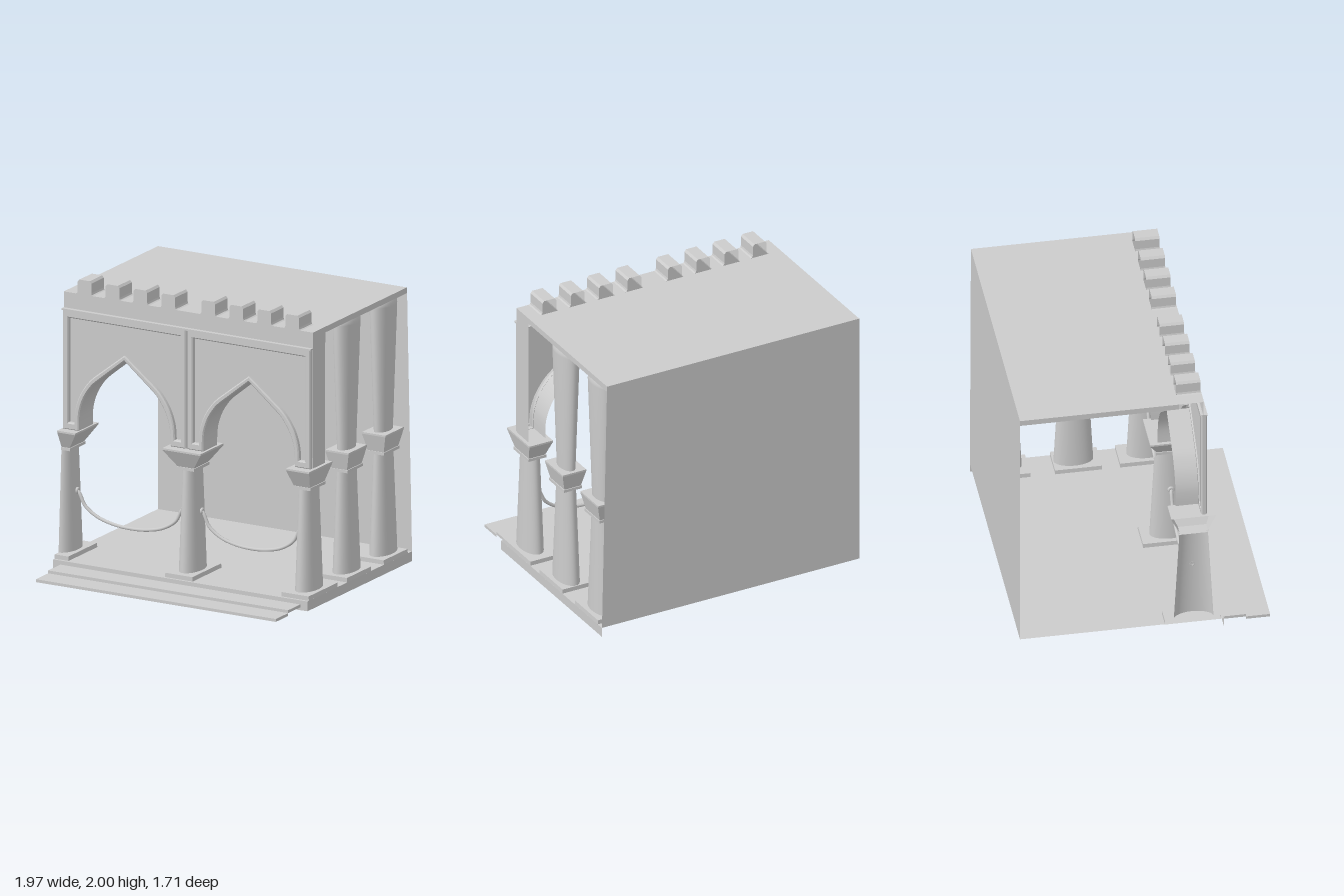
import * as THREE from 'three';
import { toCreasedNormals } from 'three/addons/utils/BufferGeometryUtils.js';

const LEFT = -0.985, RIGHT = 0.945, BACK = -0.853;
const WALL_BACK = 0.225, RECESS = 0.385, WALL_FRONT = 0.417, BEVEL = 0.008;
const material = new THREE.MeshStandardMaterial({ color: 0xcccccc, side: THREE.DoubleSide });
const v2 = (x, y) => new THREE.Vector2(x, y);

function add(parent, name, geometry, x = 0, y = 0, z = 0) {
  const mesh = new THREE.Mesh(geometry, material);
  mesh.name = name;
  mesh.position.set(x, y, z);
  parent.add(mesh);
  return mesh;
}

// Removes the faces lying in the given planes, each an [axis, value] pair
function openSides(geometry, planes) {
  const p = (geometry.index ? geometry.toNonIndexed() : geometry).attributes.position, kept = [];
  for (let i = 0; i < p.count; i += 3) {
    const drop = planes.some(([axis, value]) =>
      [0, 1, 2].every((k) => Math.abs(p.getComponent(i + k, axis) - value) < 1e-4));
    if (!drop) for (let k = 0; k < 3; k++) kept.push(p.getX(i + k), p.getY(i + k), p.getZ(i + k));
  }
  const out = new THREE.BufferGeometry();
  out.setAttribute('position', new THREE.Float32BufferAttribute(kept, 3));
  out.computeVertexNormals();
  return out;
}

// Box given by its limits, with optional open sides
function block(parent, name, x0, x1, y0, y1, z0, z1, open = []) {
  const geo = new THREE.BoxGeometry(x1 - x0, y1 - y0, z1 - z0);
  geo.translate((x0 + x1) / 2, (y0 + y1) / 2, (z0 + z1) / 2);
  return add(parent, name, openSides(geo, open));
}

// Four-sided block with half sizes (hx, hz) that differ at bottom and top, cut open at the left edge
function frustum(parent, name, cx, cz, y0, y1, bottom, top) {
  const geo = new THREE.BoxGeometry(2, 2, 2);
  const p = geo.attributes.position;
  for (let i = 0; i < p.count; i++) {
    const [hx, hz] = p.getY(i) > 0 ? top : bottom;
    p.setXYZ(i, Math.max(LEFT, cx + p.getX(i) * hx), p.getY(i) > 0 ? y1 : y0, cz + p.getZ(i) * hz);
  }
  return add(parent, name, openSides(geo, [[0, LEFT]]));
}

function extrude(shape, z0, z1, bevel = 0) {
  const geo = new THREE.ExtrudeGeometry(shape, {
    depth: z1 - z0 - 2 * bevel, bevelEnabled: bevel > 0, bevelSegments: 1,
    bevelThickness: bevel, bevelSize: bevel, bevelOffset: -bevel,
  });
  return geo.translate(0, 0, z0 + bevel);
}

// Pointed arch from left spring over the apex to right spring
function archLine(half, apex) {
  const curve = new THREE.SplineCurve(half.map(([x, y]) => v2(x, y)));
  const right = curve.getPoints(12);
  return [...right.map((v) => v2(-v.x, v.y)), v2(0, apex), ...right.reverse()];
}
const innerArch = archLine([[0.355, 1.0], [0.347, 1.09], [0.312, 1.19], [0.255, 1.275], [0.21, 1.318]], 1.49);
const outerArch = archLine([[0.39, 1.0], [0.381, 1.1], [0.345, 1.205], [0.285, 1.295], [0.235, 1.345]], 1.53);

// Rectangle with the arch cut out of its lower edge
function archedShape(halfWidth) {
  return new THREE.Shape([
    v2(-halfWidth, 0.95), v2(-0.355, 0.95), ...innerArch, v2(0.355, 0.95),
    v2(halfWidth, 0.95), v2(halfWidth, 1.79), v2(-halfWidth, 1.79),
  ]);
}

// One bay of the facade: arch reveal, recessed spandrel and raised bevelled frame, hollow behind
function facadeBay(parent, cx, closedEnd) {
  const bay = new THREE.Group();
  bay.name = 'facadeBay';
  bay.position.x = cx;
  parent.add(bay);
  const open = [[2, WALL_BACK], [2, RECESS], [0, -0.482], [1, 1.79]];
  if (!closedEnd) open.push([0, 0.482]);
  const reveal = openSides(extrude(archedShape(0.482), WALL_BACK, RECESS), open);
  add(bay, 'archReveal', toCreasedNormals(reveal, 0.5));

  const spandrel = [v2(-0.435, 1.0), ...outerArch, v2(0.435, 1.0), v2(0.435, 1.73), v2(-0.435, 1.73)];
  add(bay, 'spandrel', new THREE.ShapeGeometry(new THREE.Shape(spandrel)), 0, 0, RECESS);
  const frame = archedShape(0.478);
  frame.holes.push(new THREE.Path(spandrel));
  const back = RECESS - BEVEL;
  add(bay, 'archFrame', toCreasedNormals(openSides(extrude(frame, back, WALL_FRONT, BEVEL), [[2, back]]), 0.5));
}

// Parapet outline with flared battlements, open behind and below
function parapet(parent) {
  const pts = [v2(LEFT, 1.79), v2(LEFT, 1.9)];
  for (const bay of [-0.5, 0.46]) {
    for (const off of [-0.325, -0.108, 0.108, 0.325]) {
      const c = bay + off;
      pts.push(v2(c - 0.068, 1.9), v2(c - 0.057, 1.905), v2(c - 0.053, 1.918), v2(c - 0.053, 1.985),
        v2(c - 0.04, 2), v2(c + 0.04, 2), v2(c + 0.053, 1.985), v2(c + 0.053, 1.918),
        v2(c + 0.057, 1.905), v2(c + 0.068, 1.9));
    }
  }
  pts.push(v2(RIGHT, 1.9), v2(RIGHT, 1.79));
  const geo = extrude(new THREE.Shape(pts), WALL_BACK, 0.39);
  add(parent, 'battlements', openSides(geo, [[2, WALL_BACK], [1, 1.79], [0, LEFT]]));
}

// Oval tapering shaft; half of it when it stands on the left edge
function shaft(parent, name, profile, cx, cz) {
  const half = cx < LEFT + 0.01;
  const geo = new THREE.LatheGeometry(profile.map(([r, y]) => v2(r, y)), half ? 16 : 32, 0, half ? Math.PI : Math.PI * 2);
  add(parent, name, toCreasedNormals(geo, 0.6), cx, 0, cz).scale.x = 0.55;
}

function column(parent, name, cx, cz, baseZ, capX, capZ, tall) {
  const group = new THREE.Group();
  group.name = name;
  parent.add(group);
  const baseCz = tall ? cz + 0.017 : cz - 0.005, capCz = tall ? cz + 0.006 : cz;
  frustum(group, 'base', cx, baseCz, 0.065, 0.098, [0.107, baseZ], [0.105, baseZ]);
  shaft(group, 'lowerShaft', [[0.135, 0.095], [0.097, 0.81]], cx, cz);
  frustum(group, 'collar', cx, capCz, 0.805, 0.825, [0.069, 0.102], [0.069, 0.102]);
  frustum(group, 'capital', cx, capCz, 0.825, 0.94, [0.063, 0.096], [capX, capZ]);
  frustum(group, 'abacus', cx, capCz, 0.94, 0.952, [capX, capZ], [capX, capZ]);
  if (tall) {
    shaft(group, 'upperShaft', [[0.092, 0.95], [0.134, 1.825], [0.133, 1.843], [0.12, 1.862]], cx, cz);
  }
}

// Hanging rope with a ring at each end
function rope(parent, x0, x1) {
  const mid = (x0 + x1) / 2, h = (x1 - x0) / 2, z = 0.325;
  const pts = [[-1, 0.51], [-0.94, 0.495], [-0.83, 0.41], [-0.6, 0.345], [-0.3, 0.311], [0, 0.302]];
  const all = [...pts, ...pts.slice(0, -1).reverse().map(([x, y]) => [-x, y])];
  const path = new THREE.CatmullRomCurve3(all.map(([x, y]) => new THREE.Vector3(mid + x * h, y, z)));
  add(parent, 'rope', new THREE.TubeGeometry(path, 48, 0.012, 8));
  for (const x of [x0 + 0.015, x1 - 0.015]) {
    add(parent, 'ropeRing', new THREE.TorusGeometry(0.014, 0.01, 8, 16), x, 0.508, z).rotation.y = Math.PI / 2;
  }
}

export function createModel() {
  const model = new THREE.Group();
  model.name = 'arcade';

  // Floor and steps, hollow underneath, and the roof slab
  block(model, 'floor', LEFT, 0.985, 0, 0.068, BACK, 0.53, [[1, 0], [0, LEFT], [2, BACK]]);
  block(model, 'upperStep', -0.93, 0.93, 0.02, 0.04, 0.53, 0.69, [[1, 0.02], [2, 0.53]]);
  block(model, 'lowerStep', -0.93, 0.93, 0, 0.02, 0.69, 0.853, [[1, 0], [2, 0.69]]);
  block(model, 'roof', LEFT, RIGHT, 1.86, 1.9, BACK, WALL_BACK);

  // Back wall, narrowing slightly to the roof on one side
  const back = new THREE.Shape([v2(LEFT, 0.068), v2(0.984, 0.068), v2(RIGHT, 1.9), v2(LEFT, 1.9)]);
  add(model, 'backWall', new THREE.ShapeGeometry(back), 0, 0, BACK);

  // Facade
  facadeBay(model, -0.502, false);
  facadeBay(model, 0.462, true);
  block(model, 'middleGroove', -0.026, -0.014, 0.95, 1.79, RECESS - 0.01, RECESS);
  block(model, 'cornice', LEFT, RIGHT, 1.778, 1.79, 0.38, WALL_FRONT + 0.003, [[2, 0.38]]);
  parapet(model);

  // Front columns, then the tall side columns
  column(model, 'frontLeftEndColumn', LEFT, 0.325, 0.19, 0.14, 0.153, false);
  column(model, 'frontMiddleColumn', -0.023, 0.325, 0.19, 0.148, 0.153, false);
  column(model, 'frontRightEndColumn', 0.878, 0.325, 0.19, 0.09, 0.153, false);
  for (const z of [-0.17, -0.655]) column(model, 'sideColumn', 0.878, z, 0.158, 0.09, 0.122, true);

  // Ropes between the front columns
  rope(model, -0.93, -0.08);
  rope(model, 0.035, 0.83);
  return model;
}
